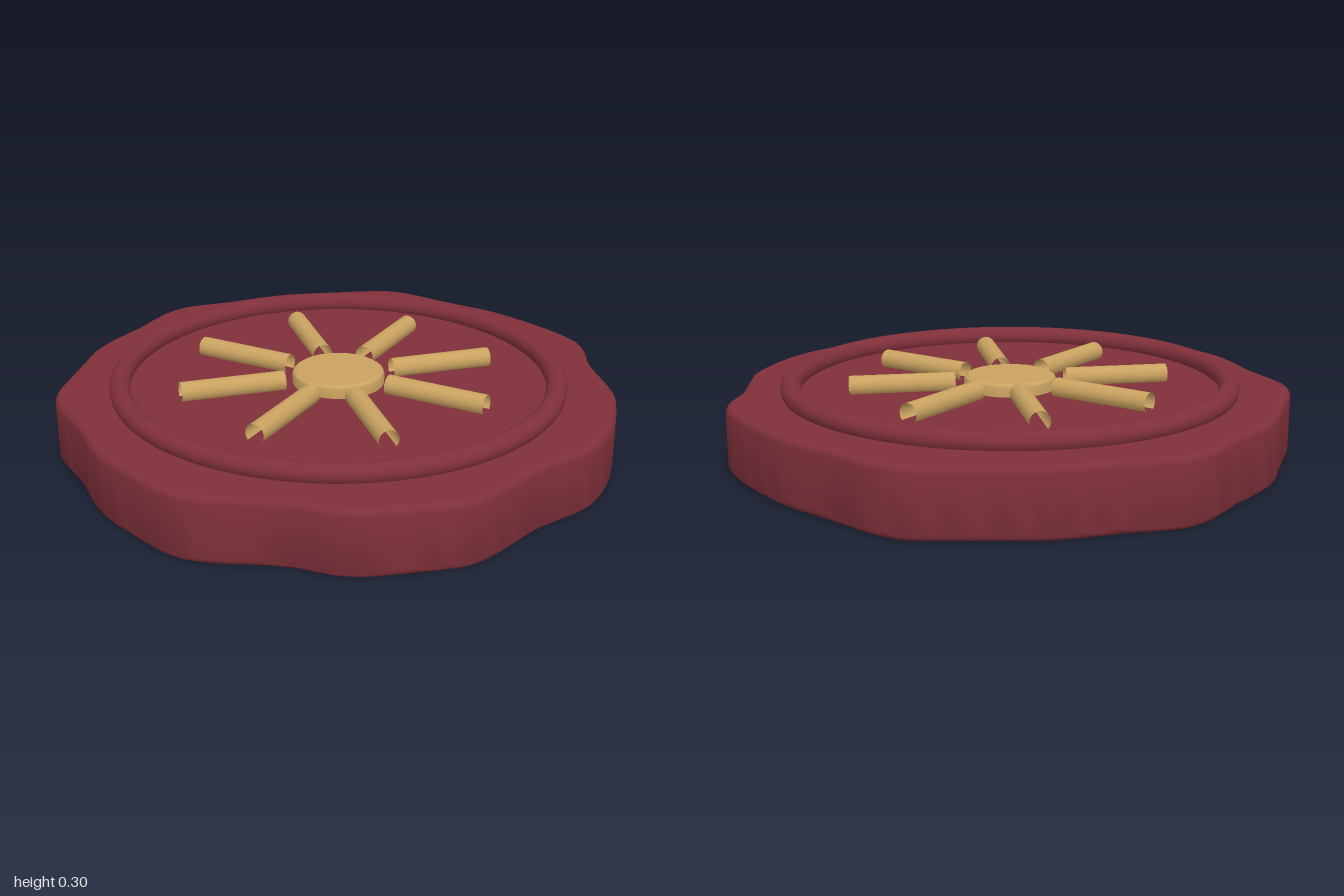
import * as THREE from 'three';
import { toCreasedNormals } from 'three/addons/utils/BufferGeometryUtils.js';

const TOP = 0.237; // height of the wax surface

// Irregular rim of the poured wax as x, z pairs
const RIM = [
  0.03, -0.985, 0.10, -0.98, 0.25, -0.955, 0.39, -0.93, 0.48, -0.905, 0.555, -0.85, 0.65, -0.735,
  0.73, -0.64, 0.80, -0.56, 0.865, -0.46, 0.925, -0.34, 0.965, -0.25, 0.998, -0.125, 0.985, -0.035,
  0.95, 0.065, 0.93, 0.20, 0.91, 0.35, 0.87, 0.445, 0.80, 0.57, 0.71, 0.68, 0.62, 0.75,
  0.525, 0.785, 0.405, 0.83, 0.30, 0.895, 0.20, 0.95, 0.12, 0.977, 0.06, 0.977, -0.05, 0.967,
  -0.19, 0.95, -0.29, 0.915, -0.395, 0.835, -0.50, 0.785, -0.62, 0.74, -0.715, 0.685, -0.78, 0.605,
  -0.85, 0.47, -0.905, 0.35, -0.93, 0.245, -0.945, 0.11, -0.97, 0, -0.998, -0.125, -0.985, -0.22,
  -0.93, -0.335, -0.86, -0.47, -0.81, -0.57, -0.73, -0.665, -0.61, -0.77, -0.49, -0.895,
  -0.395, -0.95, -0.315, -0.96, -0.18, -0.965, -0.075, -0.98,
];

// Rounded slab following the wax rim
function waxGeometry() {
  const points = [];
  for (let i = 0; i < RIM.length; i += 2) points.push(new THREE.Vector3(RIM[i], -RIM[i + 1], 0));
  const outline = new THREE.CatmullRomCurve3(points, true).getPoints(points.length * 2);
  outline.pop();
  const bevel = 0.025;
  let geo = new THREE.ExtrudeGeometry(
    new THREE.Shape(outline.map((p) => new THREE.Vector2(p.x, p.y))),
    { depth: TOP - 2 * bevel, bevelSize: bevel, bevelThickness: bevel, bevelOffset: -bevel, bevelSegments: 4 }
  );
  const caps = geo.groups[0];
  geo = toCreasedNormals(geo, 0.8);
  // Keep the two caps perfectly flat
  for (let i = caps.start; i < caps.start + caps.count; i++) {
    geo.attributes.normal.setXYZ(i, 0, 0, geo.attributes.position.getZ(i) > TOP / 2 ? 1 : -1);
  }
  geo.clearGroups();
  geo.translate(0, 0, bevel);
  geo.rotateX(-Math.PI / 2);
  return geo;
}

export function createModel() {
  const model = new THREE.Group();
  model.name = 'waxSeal';
  const wax = new THREE.MeshStandardMaterial({ color: 0x80303a });
  wax.name = 'redWax';
  const gold = new THREE.MeshStandardMaterial({ color: 0xc9a260, side: THREE.DoubleSide });
  gold.name = 'gold';

  const add = (parent, name, geo, mat) => {
    const mesh = new THREE.Mesh(geo, mat);
    mesh.name = name;
    parent.add(mesh);
    return mesh;
  };

  add(model, 'waxBody', waxGeometry(), wax);

  // Pressed design, sitting slightly off the centre of the blob
  const stamp = new THREE.Group();
  stamp.name = 'stamp';
  stamp.position.set(-0.003, 0, -0.017);
  model.add(stamp);

  const ring = add(stamp, 'raisedRing', new THREE.TorusGeometry(0.778, 0.037, 16, 96), wax);
  ring.rotation.x = -Math.PI / 2;
  ring.position.y = 0.258;

  // Sun disc with a softened edge
  const profile = [[0.165, TOP - 0.01], [0.166, 0.265], [0.162, 0.276], [0.15, 0.284], [0, 0.285]];
  const disc = new THREE.LatheGeometry(profile.map(([r, y]) => new THREE.Vector2(r, y)), 48);
  add(stamp, 'sunDisc', toCreasedNormals(disc, 0.4), gold);

  // Eight open-ended round rays
  const rayGeo = new THREE.CylinderGeometry(0.036, 0.036, 0.374, 16, 1, true);
  rayGeo.rotateZ(Math.PI / 2);
  rayGeo.translate(0.388, 0.262, 0);
  for (let i = 0; i < 8; i++) {
    add(stamp, 'sunRay' + (i + 1), rayGeo, gold).rotation.y = (i * Math.PI) / 4;
  }
  return model;
}
